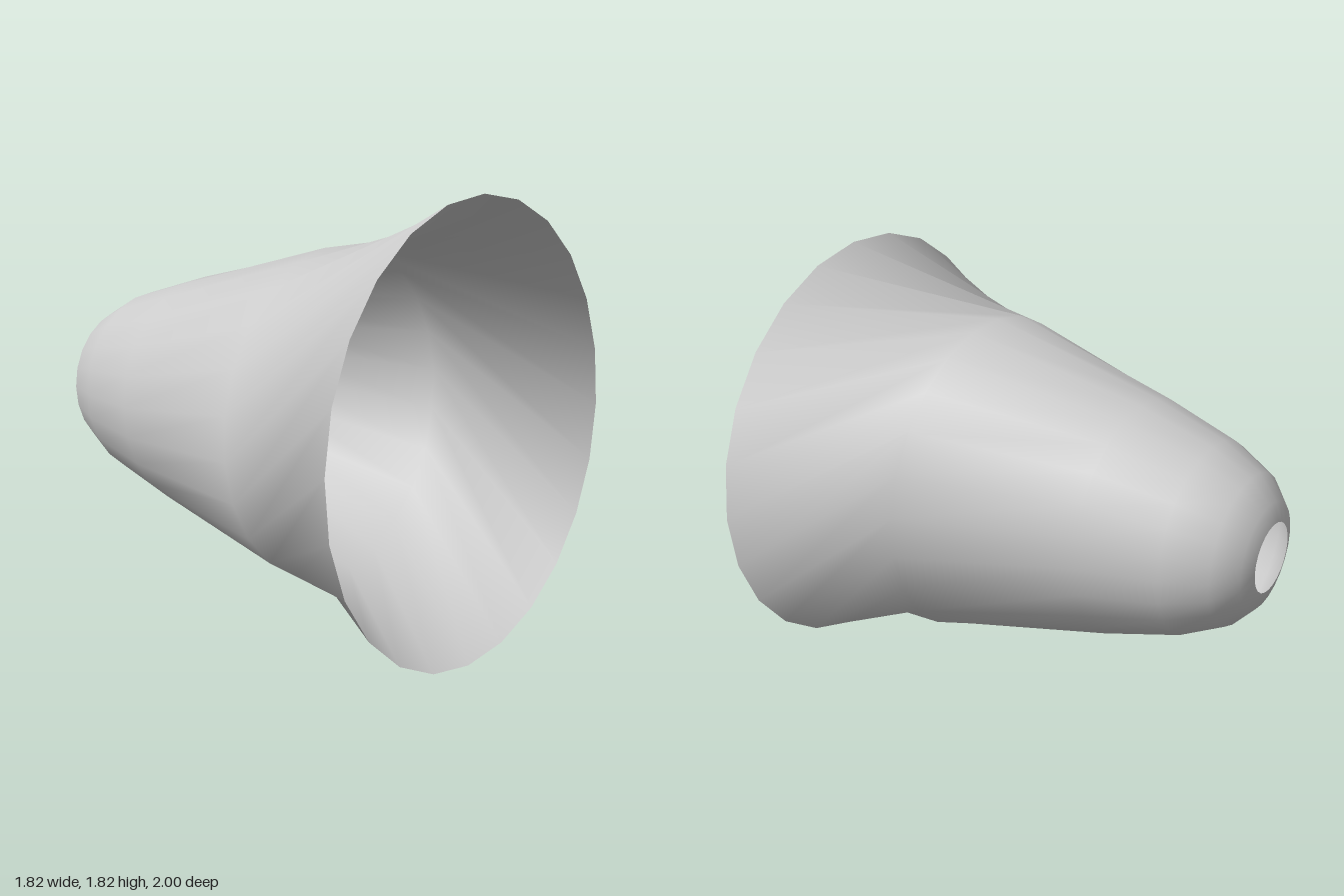
import * as THREE from 'three';

// Rings along the z axis: [z, radius, twist in degrees]
const RINGS = [
  [1.0, 0.91, 0],
  [0.33, 0.68, 38],
  [-0.4, 0.495, 46],
  [-0.72, 0.402, 46],
  [-0.89, 0.315, 46],
  [-0.975, 0.222, 46],
  [-1.0, 0.145, 46],
];
const SIDES = 24;
const CENTRE_Y = 0.91;
const PHASE = -0.8; // small turn of the whole rim

// Open shell skinned over the rings, with the flare twisted towards the rim
function twistedShell() {
  const positions = [];
  const index = [];
  for (const [z, r, twist] of RINGS) {
    for (let k = 0; k < SIDES; k++) {
      const a = THREE.MathUtils.degToRad((k * 360) / SIDES + twist + PHASE);
      positions.push(r * Math.cos(a), r * Math.sin(a), z);
    }
  }
  for (let i = 0; i < RINGS.length - 1; i++) {
    for (let k = 0; k < SIDES; k++) {
      const n = (k + 1) % SIDES;
      const a = i * SIDES + k, b = i * SIDES + n;
      const c = a + SIDES, d = b + SIDES;
      index.push(a, d, b, a, c, d);
    }
  }
  const geometry = new THREE.BufferGeometry();
  geometry.setAttribute('position', new THREE.Float32BufferAttribute(positions, 3));
  geometry.setIndex(index);
  geometry.computeVertexNormals();
  return geometry;
}

export function createModel() {
  const group = new THREE.Group();
  group.name = 'flaredCone';

  // Thin shell, open at the wide rim and at the small hole
  const material = new THREE.MeshStandardMaterial({ color: 0xcccccc, side: THREE.DoubleSide });
  const shell = new THREE.Mesh(twistedShell(), material);
  shell.name = 'coneShell';
  shell.position.y = CENTRE_Y;
  group.add(shell);

  return group;
}
